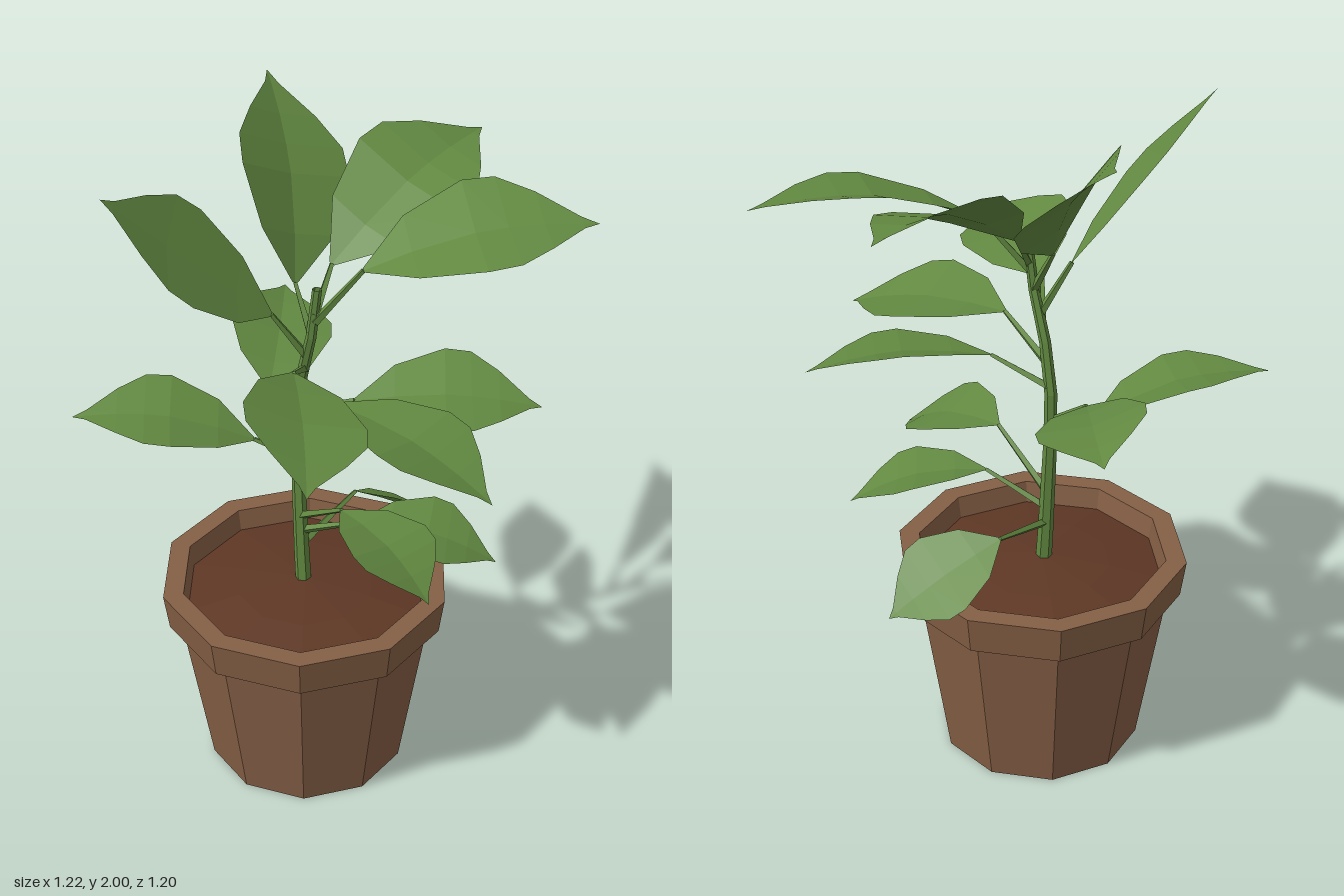
import * as THREE from 'three';

const V = (a) => new THREE.Vector3(...a);
const UP = new THREE.Vector3(0, 1, 0);

// Stem centre line, from the soil to the crown
const STEM = [[-0.055, 0.54, -0.09], [-0.05, 0.8, -0.105], [-0.042, 1.18, -0.115],
  [-0.06, 1.38, -0.07], [-0.065, 1.5, -0.035], [-0.06, 1.6, -0.03]].map(V);

function stemAt(y) {
  let i = 0;
  while (i < STEM.length - 2 && STEM[i + 1].y < y) i++;
  return STEM[i].clone().lerp(STEM[i + 1], (y - STEM[i].y) / (STEM[i + 1].y - STEM[i].y));
}

// Leaves: height on stem, blade base, blade tip, width, roll in degrees (right edge up), arch
const LEAVES = [
  { y: 1.02, base: [-0.11, 1.07, -0.22], tip: [-0.44, 1.165, -0.6], width: 0.3, roll: 8, arch: 0.06 },
  { y: 1.38, base: [-0.13, 1.52, -0.13], tip: [-0.5, 1.94, -0.37], width: 0.33, roll: 29, arch: 0.01 },
  { y: 1.45, base: [-0.04, 1.58, -0.12], tip: [0.26, 1.995, -0.45], width: 0.36, roll: -31, arch: 0.06 },
  { y: 1.06, base: [0, 1.17, -0.25], tip: [0.384, 1.245, -0.5], width: 0.3, roll: -15, arch: 0.04 },
  { y: 1.52, base: [0.03, 1.63, -0.05], tip: [0.61, 1.83, 0.03], width: 0.35, roll: -21, arch: 0.09 },
  { y: 1.5, base: [0.01, 1.66, 0.07], tip: [0.45, 1.755, 0.515], width: 0.37, roll: -12, arch: 0.07 },
  { y: 1.24, base: [-0.13, 1.32, 0.08], tip: [-0.14, 1.22, 0.6], width: 0.33, roll: 7, arch: 0.05 },
  { y: 1.33, base: [-0.2, 1.42, 0], tip: [-0.61, 1.405, 0.365], width: 0.33, roll: 18, arch: 0.04 },
  { y: 0.72, base: [0.18, 0.785, -0.08], tip: [0.42, 0.585, 0.14], width: 0.26, roll: 28, arch: 0.03 },
  { y: 0.82, base: [-0.11, 0.96, 0.09], tip: [-0.18, 0.84, 0.44], width: 0.28, roll: 8, arch: 0.05 },
  { y: 0.77, base: [-0.02, 0.86, 0.08], tip: [0.18, 0.755, 0.42], width: 0.27, roll: -4, arch: 0.05 },
  { y: 1.17, base: [0, 1.25, 0.05], tip: [0.31, 1.23, 0.46], width: 0.31, roll: -13, arch: 0.05 },
];

// Blade outline: position along the leaf and share of full width
const OUTLINE = [[0, 0.05], [0.21, 0.68], [0.48, 1], [0.62, 0.97], [0.77, 0.62], [0.93, 0.13], [1, 0]];

// Blade folded along its midrib, arched between base and tip
function bladeGeometry({ base, tip, width, roll, arch }) {
  const a = V(base), b = V(tip);
  const dir = b.clone().sub(a).normalize();
  const side = dir.clone().cross(UP).normalize().applyAxisAngle(dir, -THREE.MathUtils.degToRad(roll));
  const normal = side.clone().cross(dir);
  const pos = [], index = [];
  for (const [t, w] of OUTLINE) {
    const half = (w * width) / 2;
    const mid = a.clone().lerp(b, t).addScaledVector(normal, arch * Math.sin(Math.PI * t));
    for (const s of [-1, 0, 1]) {
      const p = mid.clone().addScaledVector(side, s * half)
        .addScaledVector(normal, (Math.abs(s) - 0.6) * half * 0.15);
      pos.push(p.x, p.y, p.z);
    }
  }
  for (let i = 0; i < OUTLINE.length - 1; i++) {
    for (let j = 0; j < 2; j++) {
      const k = i * 3 + j;
      index.push(k, k + 1, k + 4, k, k + 4, k + 3);
    }
  }
  const g = new THREE.BufferGeometry();
  g.setAttribute('position', new THREE.Float32BufferAttribute(pos, 3));
  g.setIndex(index);
  g.computeVertexNormals();
  return g;
}

// Thin tapered rod between two points
function rodGeometry(a, b, r0, r1) {
  const d = b.clone().sub(a);
  const g = new THREE.CylinderGeometry(r1, r0, d.length(), 4);
  g.applyQuaternion(new THREE.Quaternion().setFromUnitVectors(UP, d.clone().normalize()));
  const m = a.clone().add(b).multiplyScalar(0.5);
  return g.translate(m.x, m.y, m.z);
}

// Tube along the stem line, narrowing toward the crown
function stemGeometry() {
  const curve = new THREE.CatmullRomCurve3(STEM);
  const rings = 7, sides = 6;
  const g = new THREE.TubeGeometry(curve, rings, 0.024, sides);
  const p = g.attributes.position, v = new THREE.Vector3();
  for (let i = 0; i < p.count; i++) {
    const t = Math.floor(i / (sides + 1)) / rings;
    const c = curve.getPointAt(t);
    v.fromBufferAttribute(p, i).sub(c).multiplyScalar(1 - 0.45 * t).add(c);
    p.setXYZ(i, v.x, v.y, v.z);
  }
  g.computeVertexNormals();
  return g;
}

export function createModel() {
  const mat = (name, color, side = THREE.FrontSide) => {
    const m = new THREE.MeshStandardMaterial({ color, flatShading: true, side });
    m.name = name;
    return m;
  };
  const clay = mat('clay', 0x855f45, THREE.DoubleSide);
  const earth = mat('earth', 0x5e3725);
  const green = mat('leafGreen', 0x628941, THREE.DoubleSide);

  const model = new THREE.Group();
  model.name = 'pottedPlant';
  const add = (parent, name, geometry, material) => {
    const mesh = new THREE.Mesh(geometry, material);
    mesh.name = name;
    parent.add(mesh);
    return mesh;
  };
  const tenSided = (points) => new THREE.LatheGeometry(
    points.map(([r, y]) => new THREE.Vector2(r, y)), 10, Math.PI / 2).translate(-0.055, 0, -0.085);

  // Ten-sided pot, open below, with a rim and hollow top, and domed soil
  add(model, 'pot', tenSided([[0.295, 0], [0.375, 0.515], [0.41, 0.515],
    [0.425, 0.627], [0.365, 0.627], [0.35, 0.53]]), clay);
  add(model, 'soil', tenSided([[0.356, 0.56], [0.2, 0.587], [0, 0.607]]), earth);

  add(model, 'stem', stemGeometry(), green);

  // Leaves, each on its own stalk
  for (const spec of LEAVES) {
    const leaf = new THREE.Group();
    leaf.name = 'leaf';
    add(leaf, 'leafStalk', rodGeometry(stemAt(spec.y), V(spec.base), 0.013, 0.007), green);
    add(leaf, 'leafBlade', bladeGeometry(spec), green);
    model.add(leaf);
  }
  return model;
}
